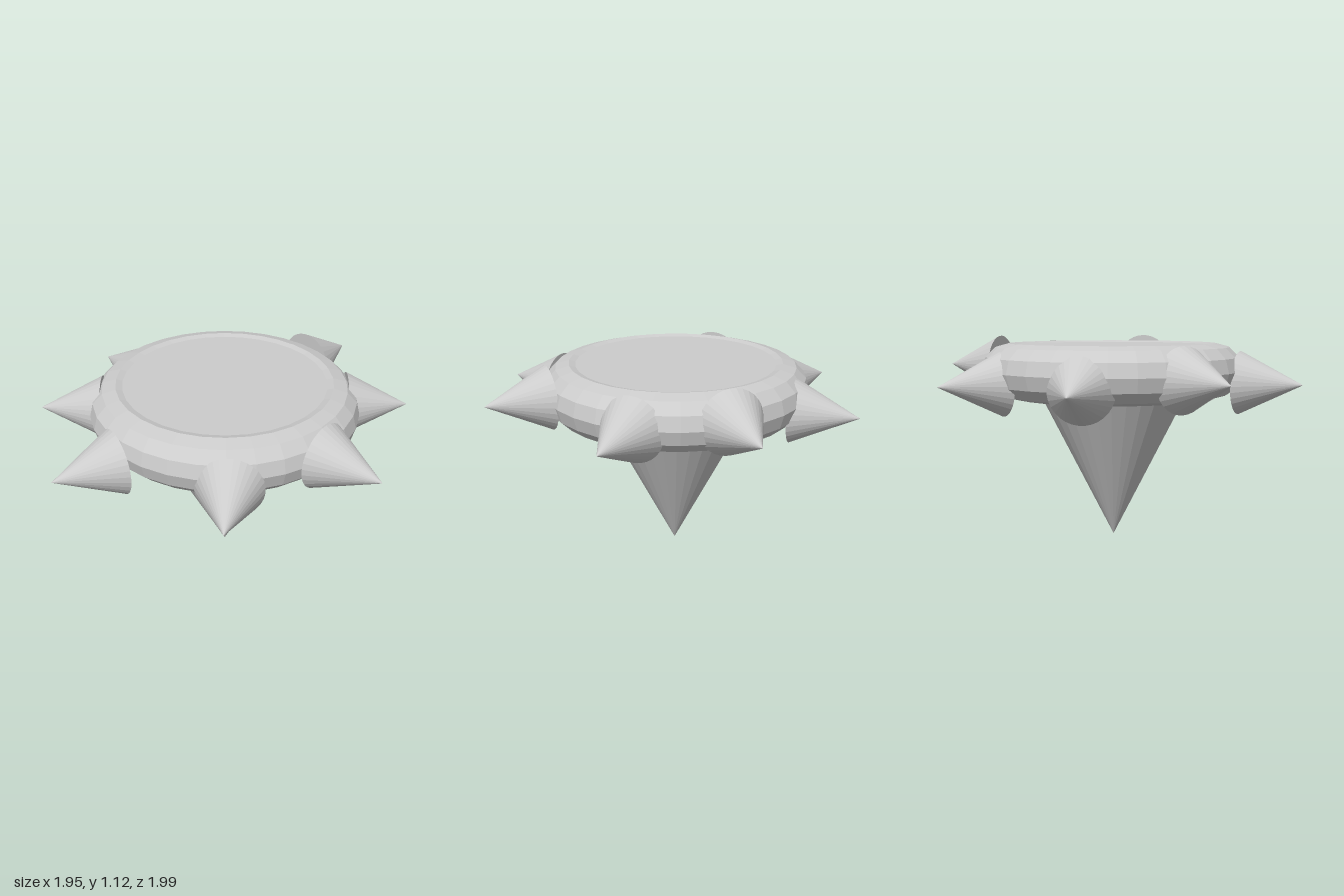
import * as THREE from 'three';

const material = new THREE.MeshStandardMaterial({ color: 0xcccccc, flatShading: true });

function addPart(group, name, geometry) {
  const mesh = new THREE.Mesh(geometry, material);
  mesh.name = name;
  group.add(mesh);
  return mesh;
}

// Spikes: [name, centre of the base, tip]
const SPIKES = [
  ['frontSpike', [0.01, 0.885, 0.665], [-0.02, 0.885, 0.99]],
  ['frontLeftSpike', [0.45, 0.95, 0.5], [0.69, 0.95, 0.72]],
  ['leftSpike', [0.64, 0.92, -0.045], [0.97, 0.92, -0.03]],
  ['backLeftSpike', [0.475, 0.955, -0.47], [0.72, 0.955, -0.68]],
  ['backSpike', [0.02, 0.885, -0.665], [0.02, 0.885, -1]],
  ['backRightSpike', [-0.465, 0.882, -0.477], [-0.717, 0.882, -0.69]],
  ['rightSpike', [-0.647, 0.92, -0.02], [-0.98, 0.92, -0.016]],
  ['frontRightSpike', [-0.53, 0.882, 0.44], [-0.813, 0.882, 0.608]],
];

export function createModel() {
  const model = new THREE.Group();
  model.name = 'spikedTop';

  // Thick faceted rim
  const rim = addPart(model, 'rim', new THREE.TorusGeometry(0.565, 0.142, 12, 32).rotateX(Math.PI / 2));
  rim.position.set(-0.005, 0.942, -0.018);

  // Downward cone; its flat base closes the top of the rim
  const body = addPart(model, 'coneBody', new THREE.ConeGeometry(0.54, 1.075, 32).rotateX(Math.PI));
  body.position.set(-0.005, 0.5375, -0.012);

  // Eight slightly uneven spikes around the rim
  const up = new THREE.Vector3(0, 1, 0);
  for (const [name, from, to] of SPIKES) {
    const base = new THREE.Vector3(...from);
    const tip = new THREE.Vector3(...to);
    const axis = tip.clone().sub(base);
    const spike = addPart(model, name, new THREE.ConeGeometry(0.165, axis.length(), 32));
    spike.position.copy(base).lerp(tip, 0.5);
    spike.quaternion.setFromUnitVectors(up, axis.normalize());
  }
  return model;
}
